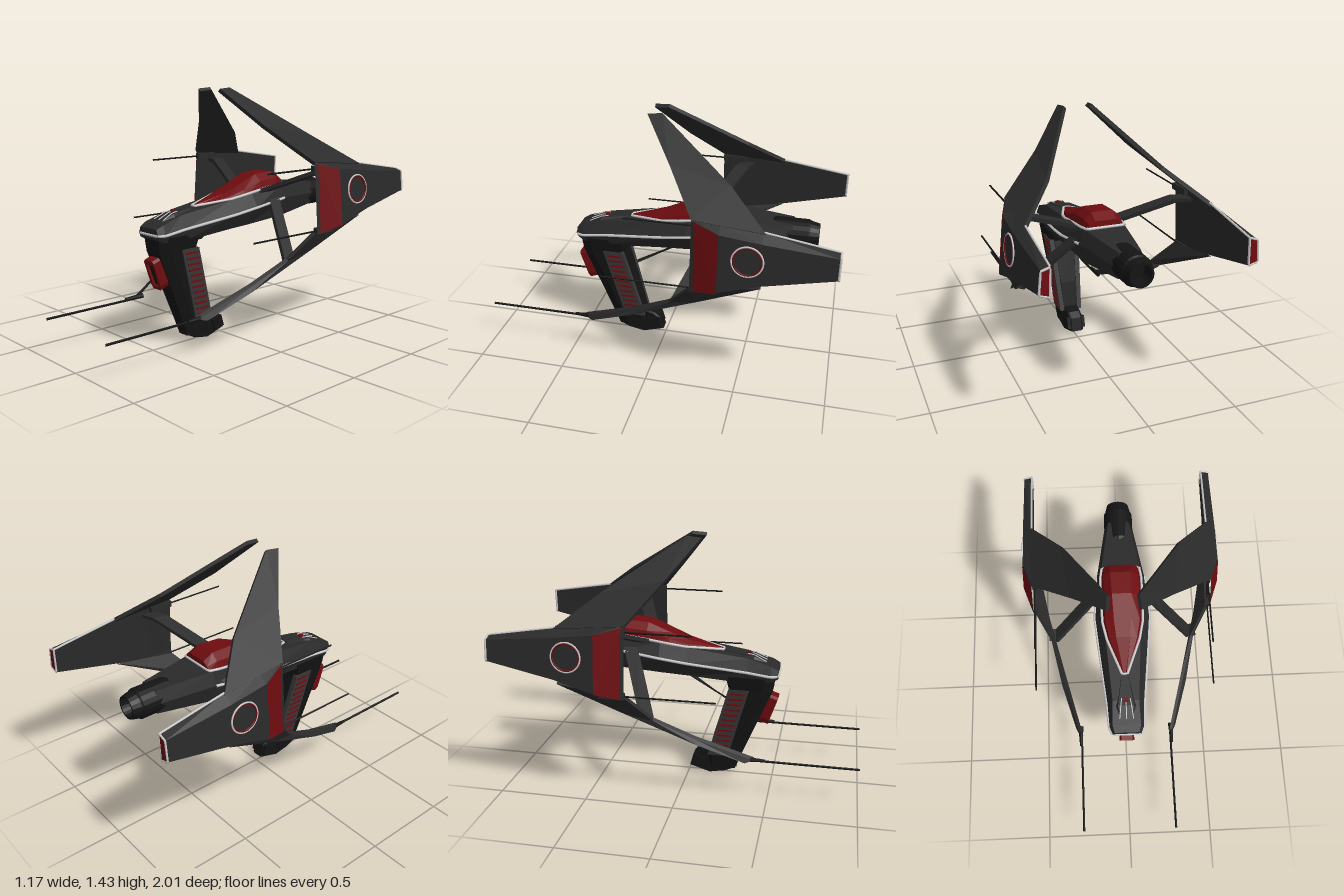
import * as THREE from 'three';

const mat = (color, flatShading = true, side = THREE.FrontSide) => {
  const m = new THREE.MeshStandardMaterial({ flatShading, side });
  m.color.set(color);
  return m;
};
const HULL = mat(0x2a2a2a), BLACK = mat(0x141414), PANEL = mat(0x383838);
const RED = mat(0x6e0c10, true, THREE.DoubleSide), LIGHT = mat(0xcccccc, false);
const V = (p) => new THREE.Vector3(...p);

function add(parent, name, geo, material) {
  const m = new THREE.Mesh(geo, material);
  m.name = name;
  parent.add(m);
  return m;
}

// Skin a row of equal-length point loops; faces are turned outward.
function loft(loops, capStart = true, capEnd = true) {
  const tris = [], n = loops[0].length;
  for (let i = 0; i + 1 < loops.length; i++) {
    for (let j = 0; j < n; j++) {
      const k = (j + 1) % n, A = loops[i], B = loops[i + 1];
      tris.push([A[j], A[k], B[k]], [A[j], B[k], B[j]]);
    }
  }
  const cap = (L, flip) => {
    for (let j = 1; j < n - 1; j++) tris.push(flip ? [L[0], L[j + 1], L[j]] : [L[0], L[j], L[j + 1]]);
  };
  if (capStart) cap(loops[0], true);
  if (capEnd) cap(loops[loops.length - 1], false);
  const all = loops.flat().map(V);
  const c = all.reduce((s, p) => s.add(p), new THREE.Vector3()).divideScalar(all.length);
  let vol = 0;
  for (const t of tris) {
    const [a, b, d] = t.map((p) => V(p).sub(c));
    vol += a.dot(b.cross(d));
  }
  if (vol < 0) tris.forEach((t) => t.reverse());
  const g = new THREE.BufferGeometry();
  g.setAttribute('position', new THREE.Float32BufferAttribute(tris.flat(2), 3));
  g.computeVertexNormals();
  return g;
}

// Left-right symmetric loop from right-half points.
const mirrorLoop = (half) => [...half, ...half.map(([x, y, z]) => [-x, y, z]).reverse()];

// Straight-segment line of round section.
function line(pts, r, closed = false) {
  const path = new THREE.CurvePath();
  const n = closed ? pts.length : pts.length - 1;
  for (let i = 0; i < n; i++) path.add(new THREE.LineCurve3(V(pts[i]), V(pts[(i + 1) % pts.length])));
  return new THREE.TubeGeometry(path, n * 8, r, 6, closed);
}

// Thin plate between a leading and a trailing edge.
function blade(lead, trail, [nx, ny], t) {
  const off = (p, s) => [p[0] + nx * t * s, p[1] + ny * t * s, p[2]];
  return loft(lead.map((a, i) => [off(a, 1), off(trail[i], 1), off(trail[i], -1), off(a, -1)]));
}

function fuselage(g) {
  // z, bottom width/height, side width/height, shoulder width/height
  const S = [
    [0.52, 0.07, 0.635, 0.083, 0.655, 0.07, 0.69], [0.48, 0.085, 0.615, 0.1, 0.655, 0.08, 0.71],
    [0.35, 0.09, 0.605, 0.107, 0.675, 0.075, 0.75], [0, 0.09, 0.63, 0.145, 0.72, 0.1, 0.8],
    [-0.15, 0.095, 0.64, 0.16, 0.745, 0.115, 0.825], [-0.4, 0.1, 0.66, 0.14, 0.775, 0.115, 0.855],
    [-0.73, 0.06, 0.7, 0.083, 0.77, 0.06, 0.84],
  ];
  add(g, 'fuselage', loft(S.map(([z, a, b, c, d, e, f]) => mirrorLoop([[a, b, z], [c, d, z], [e, f, z]]))), HULL);
  const side = S.slice(0, 6).map((s) => [s[3], s[4], s[0]]);
  add(g, 'hullStripe', line([...side.slice().reverse(), ...side.map(([x, y, z]) => [-x, y, z])], 0.008), LIGHT);

  // Canopy: z, base width, base height, top width, top height
  const C = [
    [0.2, 0.012, 0.765, 0.006, 0.78], [0, 0.09, 0.79, 0.04, 0.83], [-0.1, 0.112, 0.81, 0.05, 0.87],
    [-0.23, 0.115, 0.83, 0.055, 0.925], [-0.36, 0.115, 0.845, 0.06, 0.932], [-0.42, 0.105, 0.85, 0.06, 0.9],
  ];
  add(g, 'canopy', loft(C.map(([z, w, b, t, h]) =>
    mirrorLoop([[w, b, z], [w * 0.88, b + (h - b) * 0.6, z], [t, h, z]]))), RED);
  const rim = C.map(([z, w, b]) => [w + 0.004, b + 0.012, z]);
  add(g, 'canopyTrim', line(mirrorLoop(rim), 0.008, true), LIGHT);

  // Nose hump and its fine lines
  add(g, 'noseHump', loft([[0.46, 0.03, 0.715], [0.38, 0.045, 0.757], [0.22, 0.02, 0.775]].map(([z, w, y]) =>
    mirrorLoop([[w * 1.5, y - 0.03, z], [w, y, z]]))), HULL);
  for (const x of [-0.03, 0, 0.03]) {
    add(g, 'noseLine', line([[x * 1.3, 0.727, 0.45], [x, 0.759, 0.38], [x * 0.8, 0.764, 0.34]], 0.003), LIGHT);
  }
  const dot = add(g, 'noseDot', new THREE.CylinderGeometry(0.014, 0.014, 0.01, 16), RED);
  dot.position.set(0, 0.764, 0.35);

  // Rear engine nozzle
  const prof = [[0, 0], [0.07, 0], [0.085, 0.04], [0.085, 0.22], [0.078, 0.23], [0.066, 0.28], [0.055, 0.28], [0.05, 0.2], [0, 0.2]];
  const e = add(g, 'engine', new THREE.LatheGeometry(prof.map((p) => new THREE.Vector2(...p)), 20).rotateX(-Math.PI / 2), BLACK);
  e.position.set(0, 0.768, -0.595);
}

function leg(g) {
  // y, back z, front z, half width
  const L = [[0.64, 0.22, 0.5, 0.1], [0.55, 0.24, 0.49, 0.086], [0.3, 0.165, 0.385, 0.07], [0.13, 0.12, 0.315, 0.06], [0.04, 0.13, 0.28, 0.054]];
  add(g, 'leg', loft(L.map(([y, b, f, w]) => mirrorLoop([[w * 0.7, y, b], [w, y, b + 0.02], [w, y, f - 0.06], [w * 0.65, y, f]]))), BLACK);

  // Foot
  const foot = new THREE.Shape([[0.28, 0.05], [0.22, 0.022], [0.13, 0.005], [0.015, 0.04], [0.035, 0.11], [0.07, 0.135], [0.13, 0.15], [0.2, 0.15]]
    .map((p) => new THREE.Vector2(...p)));
  const fg = new THREE.ExtrudeGeometry(foot, { depth: 0.06, bevelThickness: 0.012, bevelSize: 0.006, bevelSegments: 1 });
  add(g, 'foot', fg.translate(0, 0, -0.03).rotateY(-Math.PI / 2), BLACK);
  const heel = add(g, 'heel', new THREE.BoxGeometry(0.11, 0.07, 0.07), BLACK);
  heel.position.set(0, 0.075, 0.06);
  heel.rotation.x = 0.3;

  // Ribbed side vents
  for (const s of [1, -1]) {
    const edge = (x) => [[0.56, 0.36, 0.085], [0.13, 0.24, 0.059]].map(([y, z, w]) => [s * (w + x), y, z]);
    const [a, b] = edge(0.009), [c, d] = edge(-0.02);
    const back = ([x, y, z]) => [x, y, z - 0.12];
    add(g, 'ventPanel', loft([[a, back(a), back(c), c], [b, back(b), back(d), d]]), PANEL);
    for (let i = 0; i < 12; i++) {
      const t = i / 11;
      const slat = add(g, 'ventSlat', new THREE.BoxGeometry(0.02, 0.011, 0.085), RED);
      slat.position.set(s * (0.088 - 0.023 * t), 0.535 - 0.37 * t, 0.293 - 0.103 * t);
    }
  }

  // Framed front intake
  const frame = new THREE.Shape([[-0.03, -0.09], [0.03, -0.09], [0.043, -0.06], [0.043, 0.075], [0.033, 0.09], [-0.033, 0.09], [-0.043, 0.075], [-0.043, -0.06]]
    .map((p) => new THREE.Vector2(...p)));
  frame.holes.push(new THREE.Path([[-0.022, -0.07], [-0.03, 0.06], [0.03, 0.06], [0.022, -0.07]].map((p) => new THREE.Vector2(...p))));
  const intake = new THREE.Group();
  intake.name = 'intake';
  add(intake, 'intakeFrame', new THREE.ExtrudeGeometry(frame, { depth: 0.09, bevelEnabled: false }), RED);
  add(intake, 'intakeCore', new THREE.BoxGeometry(0.07, 0.15, 0.07), BLACK).position.z = 0.04;
  intake.position.set(0, 0.455, 0.41);
  intake.rotation.x = 0.33;
  g.add(intake);
}

// One wing on the +x side
function wing() {
  const g = new THREE.Group();
  // Hollow shell, open at the front: inner top, outer top, outer bottom, inner bottom
  const S = [
    [-0.25, 0.49, 1.03, 0.5, 1.02, 0.53, 0.63, 0.512, 0.62], [-0.4, 0.495, 1.02, 0.552, 0.985, 0.58, 0.67, 0.52, 0.65],
    [-0.62, 0.5, 1, 0.555, 0.96, 0.575, 0.735, 0.515, 0.705], [-1, 0.505, 0.94, 0.55, 0.925, 0.56, 0.81, 0.51, 0.795],
  ].map(([z, ...p]) => [0, 2, 4, 6].map((i) => [p[i], p[i + 1], z]));
  add(g, 'wingShell', loft(S, false, true), HULL);
  const out = ([x, y, z], dz = 0) => [x + 0.004, y, z + dz];
  const [f, r, , end] = S;
  add(g, 'wingRedPanel', loft([[out(f[1], -0.012), out(f[2], -0.012)], [out(r[1]), out(r[2])]], false, false), RED);
  add(g, 'wingEndCap', loft([end, end.map(([x, y]) => [x, y, -1.003])]), RED);
  add(g, 'wingEndTrim', line(end, 0.006, true), LIGHT);
  add(g, 'wingTopTrim', line([S[2][0], end[0]], 0.006), LIGHT);

  // Round marking
  for (const [rad, m, name] of [[0.08, LIGHT, 'outerRing'], [0.073, RED, 'innerRing']]) {
    const ring = add(g, name, new THREE.TorusGeometry(rad, 0.005, 6, 40).rotateY(Math.PI / 2), m);
    ring.position.set(0.566, 0.86, -0.55);
    ring.rotation.z = 0.085;
  }

  // Upper and lower blades
  add(g, 'upperBlade', blade([[0.495, 1.02, -0.25], [0.27, 1.215, -0.085], [0.082, 1.418, 0.08]],
    [[0.505, 0.99, -0.63], [0.32, 1.15, -0.42], [0.075, 1.425, 0]], [0.7, 0.7], 0.011), HULL);
  add(g, 'lowerBlade', blade([[0.51, 0.64, -0.25], [0.425, 0.49, -0.12], [0.36, 0.37, 0.1], [0.275, 0.23, 0.42]],
    [[0.52, 0.7, -0.62], [0.455, 0.53, -0.27], [0.375, 0.34, 0.12], [0.3, 0.22, 0.37]], [0.87, -0.5], 0.011), HULL);

  // Struts to the fuselage
  const strut = (name, pts, [nx, ny], w) => add(g, name,
    blade(pts.map(([x, y, z]) => [x, y, z + w]), pts.map(([x, y, z]) => [x, y, z - w]), [nx, ny], 0.011), HULL);
  strut('upperStrut', [[0.1, 0.825, -0.24], [0.42, 0.957, -0.37], [0.5, 0.96, -0.4]], [-0.38, 0.92], 0.04);
  strut('lowerStrut', [[0.12, 0.79, -0.32], [0.4, 0.475, -0.16], [0.44, 0.49, -0.16]], [0.76, 0.65], 0.04);

  // Long gun and thin antennas
  add(g, 'gunBarrel', line([[0.275, 0.22, 0.38], [0.275, 0.22, 1]], 0.007), BLACK);
  add(g, 'gunMount', new THREE.CylinderGeometry(0.008, 0.016, 0.12, 8).rotateX(Math.PI / 2), BLACK).position.set(0.28, 0.226, 0.42);
  for (const [x, y, z] of [[0.485, 0.99, 0.11], [0.515, 0.645, 0.24]]) {
    add(g, 'antenna', line([[x, y, -0.35], [x, y, z]], 0.005), BLACK);
    add(g, 'antennaMount', new THREE.BoxGeometry(0.025, 0.035, 0.14), HULL).position.set(x, y, -0.32);
  }
  return g;
}

export function createModel() {
  const g = new THREE.Group();
  fuselage(g);
  leg(g);
  for (const s of [1, -1]) {
    const w = wing();
    w.name = s > 0 ? 'leftWing' : 'rightWing';
    w.scale.x = s;
    g.add(w);
  }
  return g;
}
